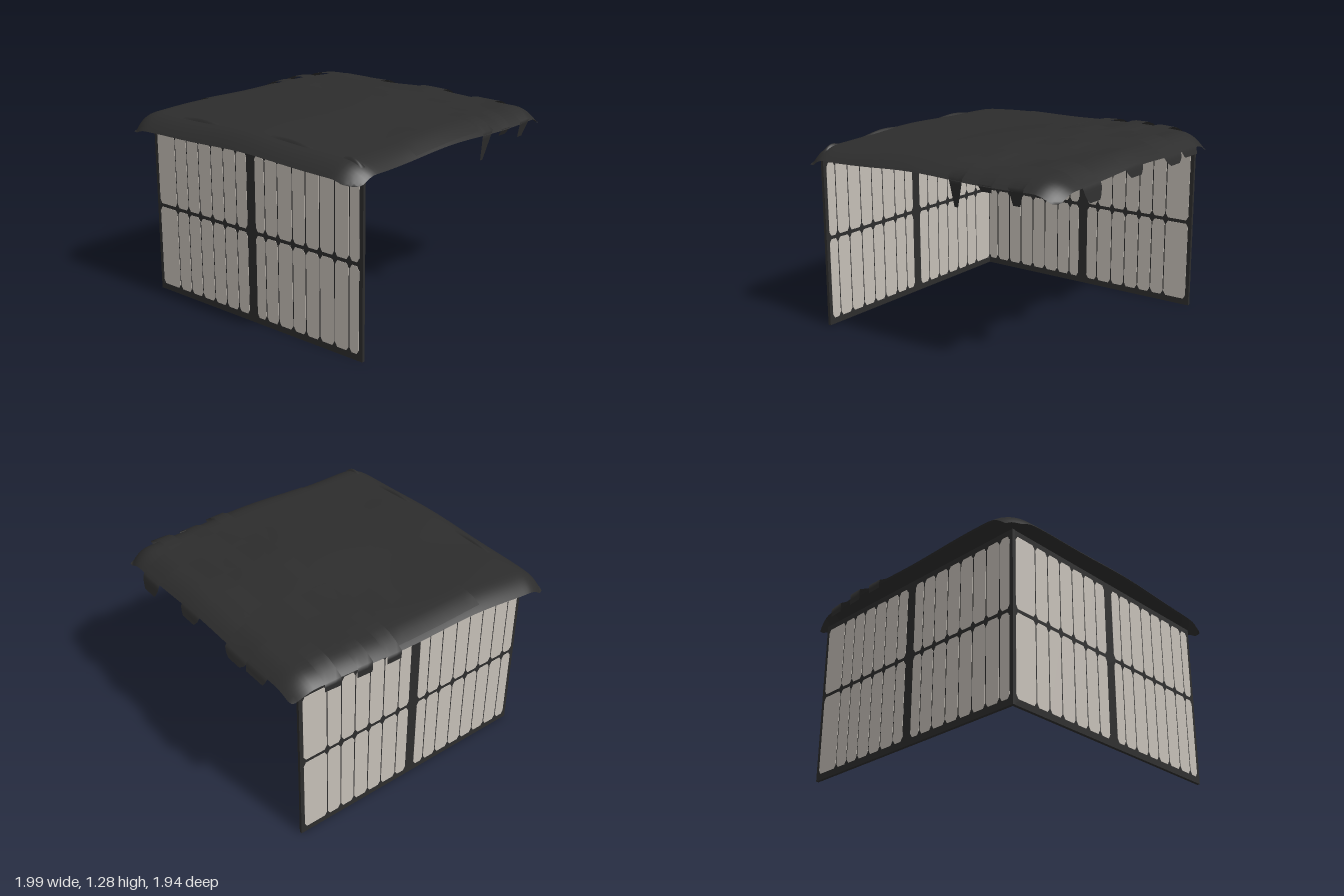
import * as THREE from 'three';

const dark = new THREE.MeshStandardMaterial({ color: 0x2d2d2d, side: THREE.DoubleSide });
dark.name = 'charcoal';
const paper = new THREE.MeshStandardMaterial({ color: 0xc5bfb7 });
paper.name = 'paper beige';

const lerp = THREE.MathUtils.lerp;

function add(parent, name, geometry, material) {
  const mesh = new THREE.Mesh(geometry, material);
  mesh.name = name;
  parent.add(mesh);
  return mesh;
}

// Curved sheet from a rule f(u, v) -> [x, y, z]; u runs along x and v along z
function sheet(nu, nv, f) {
  const pos = [], idx = [];
  for (let j = 0; j <= nv; j++)
    for (let i = 0; i <= nu; i++) pos.push(...f(i / nu, j / nv));
  for (let j = 0; j < nv; j++)
    for (let i = 0; i < nu; i++) {
      const a = j * (nu + 1) + i, b = a + 1, c = a + nu + 1, d = c + 1;
      idx.push(a, c, b, b, c, d);
    }
  const g = new THREE.BufferGeometry();
  g.setAttribute('position', new THREE.Float32BufferAttribute(pos, 3));
  g.setIndex(idx);
  g.computeVertexNormals();
  return g;
}

// Outline of the covering
const backEdge = x => -0.945 + 0.035 * x - 0.008 * Math.sin(x * 5);
const frontEdge = x => 0.952 + 0.008 * Math.sin(x * 4);
const fall = d => Math.pow(1 - THREE.MathUtils.clamp(d / 0.16, 0, 1), 2);

// Height of the covering: a shallow dome with drooping hems
function roofY(x, z) {
  const dome = 1.228 + 0.018 * Math.cos((x - 0.25) * 1.7) - 0.03 * z * z - 0.012 * z;
  const ripple = 0.006 * Math.sin(x * 6 + z * 2) + 0.004 * Math.sin(z * 7 + 1);
  const droop = 0.09 * fall(x + 0.99) + 0.075 * fall(0.965 - x)
    + 0.065 * fall(frontEdge(x) - z) + 0.055 * fall(z - backEdge(x));
  return dome + ripple - Math.min(droop, 0.11);
}

// Wall panel in the xy plane: dark slab, papered on both faces between the bars
function wall(name, start, end, posts, lines) {
  const g = new THREE.Group();
  g.name = name;
  const height = 1.13, thick = 0.02;
  const slab = add(g, 'wallFrame', new THREE.BoxGeometry(end - start, height, thick), dark);
  slab.position.set((start + end) / 2, height / 2, 0);
  const edges = [start + 0.022, ...lines, end - 0.022];
  for (let i = 0; i < edges.length - 1; i++) {
    const a = edges[i] === posts[0] ? posts[1] : edges[i] + 0.004;
    const b = edges[i + 1] === posts[0] ? posts[0] : edges[i + 1] - 0.004;
    for (const [lo, hi] of [[0.042, 0.583], [0.607, 1.092]]) {
      // slat of paper with clipped corners
      const c = 0.016, e = 0.026;
      const s = new THREE.Shape([
        [a + c, lo], [b - c, lo], [b, lo + e], [b, hi - e],
        [b - c, hi], [a + c, hi], [a, hi - e], [a, lo + e],
      ].map(p => new THREE.Vector2(...p)));
      const plate = new THREE.ExtrudeGeometry(s, { depth: thick + 0.004, bevelEnabled: false });
      plate.translate(0, 0, -thick / 2 - 0.002);
      add(g, 'paperSlat', plate, paper);
    }
  }
  return g;
}

export function createModel() {
  const model = new THREE.Group();
  model.name = 'shelter';

  // Two walls meeting at the back corner; the other sides stay open
  const back = wall('backWall', -0.865, 0.89, [-0.02, 0.053],
    [-0.76, -0.65, -0.54, -0.43, -0.32, -0.205, -0.1, -0.02, 0.14, 0.26, 0.37, 0.48, 0.585, 0.69]);
  back.position.z = -0.838;
  model.add(back);

  // Built along its own x, then turned so that x runs to -z
  const side = wall('sideWall', -0.91, 0.848, [-0.065, 0.008],
    [-0.81, -0.7, -0.585, -0.475, -0.37, -0.25, -0.145, -0.065, 0.1, 0.21, 0.32, 0.435, 0.545, 0.655]);
  side.rotation.y = Math.PI / 2;
  side.position.x = -0.853;
  model.add(side);

  // Covering, with rows packed towards the hems and rounded corners
  const ease = t => 0.5 - 0.5 * Math.cos(Math.PI * lerp(0.08, 0.92, t)) / Math.cos(Math.PI * 0.08);
  const roof = new THREE.Group();
  roof.name = 'roof';
  model.add(roof);
  add(roof, 'covering', sheet(48, 48, (u, v) => {
    u = ease(u); v = ease(v);
    const fx = 2 * u - 1, fz = 2 * v - 1;
    const x0 = lerp(-0.99, 0.963, u);
    const z0 = lerp(backEdge(x0), frontEdge(x0), v);
    const x = x0 - 0.04 * fx * Math.pow(Math.abs(fz), 14) * (fx < 0 ? 1 : 0.3);
    const z = z0 * (1 - 0.04 * Math.pow(Math.abs(fx), 14));
    return [x, roofY(x0, z0), z];
  }), dark);

  // Overlapping sheet along the strips
  add(roof, 'overlapSheet', sheet(8, 32, (u, v) => {
    const x = lerp(-0.42, 0.225, u), z = lerp(-0.92, 0.935, v);
    return [x, roofY(x, z) + 0.006, z];
  }), dark);

  // Loose patch with a curved right edge
  const rim = new THREE.CatmullRomCurve3([
    [0.04, -0.64], [0.04, -0.44], [0.09, -0.25], [0.19, -0.06],
    [0.23, 0.15], [0.22, 0.36], [0.15, 0.5], [0.12, 0.7],
  ].map(([x, z]) => new THREE.Vector3(x, 0, z)));
  add(roof, 'patch', sheet(10, 30, (u, v) => {
    const r = rim.getPoint(v);
    const x = lerp(lerp(-0.3, -0.225, v), r.x, u);
    const z = lerp(lerp(-0.56, 0.77, v), r.z, u);
    return [x, roofY(x, z) + 0.013 + 0.012 * u * Math.sin(Math.PI * v), z];
  }), dark);

  // Strips running front to back, with hanging tapered ends: x0, x1, front tip, taper
  const long = [[0.225, 0.33, 0.98, 0.75], [0.435, 0.54, 1.1, 0.3], [0.65, 0.76, 1.05, 0.55]];
  long.forEach(([x0, x1, tip, taper], k) => {
    add(roof, 'longStrip', sheet(3, 40, (u, v) => {
      const t = THREE.MathUtils.clamp((v - 0.05) / 0.85, 0, 1);
      const frontHang = Math.max(0, (v - 0.9) / 0.1), backHang = Math.max(0, (0.05 - v) / 0.05);
      const mid = (x0 + x1) / 2;
      const x = mid + (u - 0.5) * (x1 - x0) * (1 - taper * frontHang);
      const z = lerp(backEdge(x) - 0.008, 0.96, t);
      let y = roofY(x, z) + 0.018 + 0.006 * Math.sin(z * 8 + k * Math.PI);
      y = lerp(y, tip, frontHang);
      y = lerp(y, 1.13, backHang);
      return [x - 0.025 * frontHang * taper, y, z - 0.03 * frontHang];
    }), dark);
  });

  // Strips running across, hanging over the right side: z0, z1, start x, tip, taper
  const cross = [[-0.67, -0.47, 0.18, 1.12, 0.2], [-0.47, -0.25, 0.18, 1.1, 0.5],
    [0.03, 0.23, 0.23, 1.115, 0.4], [0.5, 0.69, 0.23, 1.055, 0.4]];
  cross.forEach(([z0, z1, x0, tip, taper], k) => {
    add(roof, 'crossStrip', sheet(32, 4, (u, v) => {
      const t = Math.min(u / 0.88, 1), hang = Math.max(0, (u - 0.88) / 0.12);
      const x = lerp(x0, 0.975, t) + 0.02 * hang;
      const z = (z0 + z1) / 2 + (v - 0.5) * (z1 - z0) * (1 - taper * hang * hang);
      const y = roofY(x, z) + 0.013 + 0.008 * Math.sin(x * 15 + k * Math.PI);
      return [x, lerp(y, tip, hang), z];
    }), dark);
  });

  // Small raised folds near the left hem
  for (const [z0, z1] of [[-0.57, -0.25], [0.2, 0.53], [0.76, 0.9]]) {
    add(roof, 'fold', sheet(6, 16, (u, v) => {
      const x = -0.85 + (u - 0.5) * 0.03, z = lerp(z0, z1, v);
      return [x, roofY(x, z) + 0.015 * Math.sin(Math.PI * u) * Math.sin(Math.PI * v), z];
    }), dark);
  }

  return model;
}
